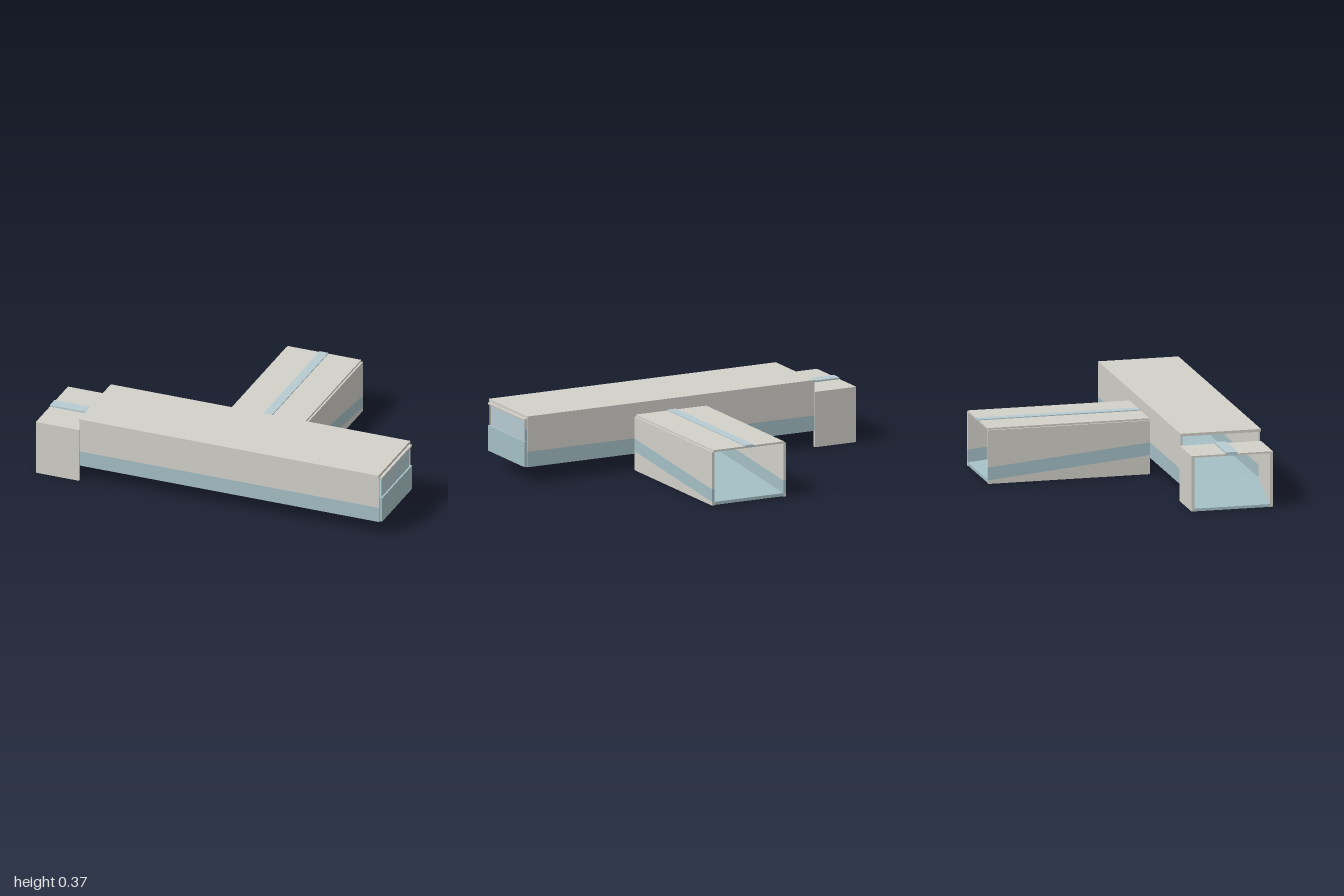
import * as THREE from 'three';

const grey = new THREE.MeshStandardMaterial({ color: 0xd2d0c9 });
const blue = new THREE.MeshStandardMaterial({ color: 0xa4bfc5 });
const glass = new THREE.MeshStandardMaterial({ color: 0xb6cbd2 });

// Block over an x/z rectangle; bottom and top are heights or functions of (x, z).
function block(parent, name, material, [x0, x1], [z0, z1], bottom, top) {
  const at = (h, x, z) => (typeof h === 'function' ? h(x, z) : h);
  const geo = new THREE.BoxGeometry(1, 1, 1);
  const p = geo.attributes.position;
  for (let i = 0; i < p.count; i++) {
    const x = p.getX(i) < 0 ? x0 : x1;
    const z = p.getZ(i) < 0 ? z0 : z1;
    p.setXYZ(i, x, at(p.getY(i) < 0 ? bottom : top, x, z), z);
  }
  geo.computeVertexNormals();
  const mesh = new THREE.Mesh(geo, material);
  mesh.name = name;
  parent.add(mesh);
}

function part(root, name) {
  const g = new THREE.Group();
  g.name = name;
  root.add(g);
  return g;
}

export function createModel() {
  const root = new THREE.Group();
  root.name = 'coveredWalkway';

  // Main hall: floor, banded side walls and roof
  const hall = part(root, 'mainHall');
  const hallX = [-0.75, 0.985];
  block(hall, 'hallFloor', blue, [-0.75, 1], [0.235, 0.655], 0.09, 0.105);
  block(hall, 'hallRoof', grey, hallX, [0.225, 0.67], 0.355, 0.37);
  const wall = (name, xs, zs) => {
    block(hall, name + 'Band', blue, xs, zs, 0.09, 0.175);
    block(hall, name, grey, xs, zs, 0.175, 0.355);
  };
  wall('frontWall', hallX, [0.655, 0.665]);
  // The back wall leaves a doorway into the rear wing
  wall('backWallRight', [-0.75, -0.09], [0.225, 0.235]);
  wall('backWallLeft', [0.325, 0.985], [0.225, 0.235]);
  block(hall, 'doorwayLintel', grey, [-0.09, 0.325], [0.225, 0.235], 0.295, 0.355);

  // Closed end of the hall: parapet, window and top rail
  const end = part(root, 'endWall');
  block(end, 'endParapet', blue, [0.985, 1], [0.235, 0.655], 0.105, 0.23);
  block(end, 'endWindow', glass, [0.986, 0.99], [0.252, 0.638], 0.23, 0.335);
  block(end, 'endTopRail', grey, [0.985, 1], [0.235, 0.655], 0.345, 0.355);

  // Rear wing: ramp between walls that carry a sloping band
  const wing = part(root, 'rearWing');
  const wingZ = [-0.67, 0.225];
  const ramp = (near) => (x, z) => near - (0.085 * (0.225 - z)) / 0.895;
  block(wing, 'wingRamp', blue, [-0.09, 0.325], [-0.67, 0.235], ramp(0.088), ramp(0.105));
  for (const [side, xs] of [['right', [-0.105, -0.09]], ['left', [0.325, 0.34]]]) {
    block(wing, side + 'WingSkirt', grey, xs, wingZ, 0, ramp(0.105));
    block(wing, side + 'WingBand', blue, xs, wingZ, ramp(0.105), ramp(0.175));
    block(wing, side + 'WingWall', grey, xs, wingZ, ramp(0.175), 0.295);
  }
  block(wing, 'wingRoofRight', grey, [-0.095, 0.09], wingZ, 0.295, 0.305);
  block(wing, 'wingRoofLeft', grey, [0.14, 0.33], wingZ, 0.295, 0.305);
  block(wing, 'wingSkylight', glass, [0.09, 0.14], wingZ, 0.295, 0.31);

  // Entrance at the right end: short ramp, plain walls, roof with skylight
  const entry = part(root, 'entrance');
  const entryX = [-1, -0.75];
  const entryRamp = (near) => (x) => near - 0.09 * ((-0.75 - x) / 0.25);
  block(entry, 'entranceRamp', blue, entryX, [0.235, 0.655], entryRamp(0.09), entryRamp(0.105));
  block(entry, 'entranceBackWall', grey, entryX, [0.22, 0.235], 0, 0.305);
  block(entry, 'entranceFrontWall', grey, entryX, [0.655, 0.67], 0, 0.305);
  block(entry, 'entranceRoofBack', grey, entryX, [0.235, 0.41], 0.295, 0.305);
  block(entry, 'entranceRoofFront', grey, entryX, [0.475, 0.655], 0.295, 0.305);
  block(entry, 'entranceSkylight', glass, entryX, [0.41, 0.475], 0.295, 0.314);

  return root;
}
